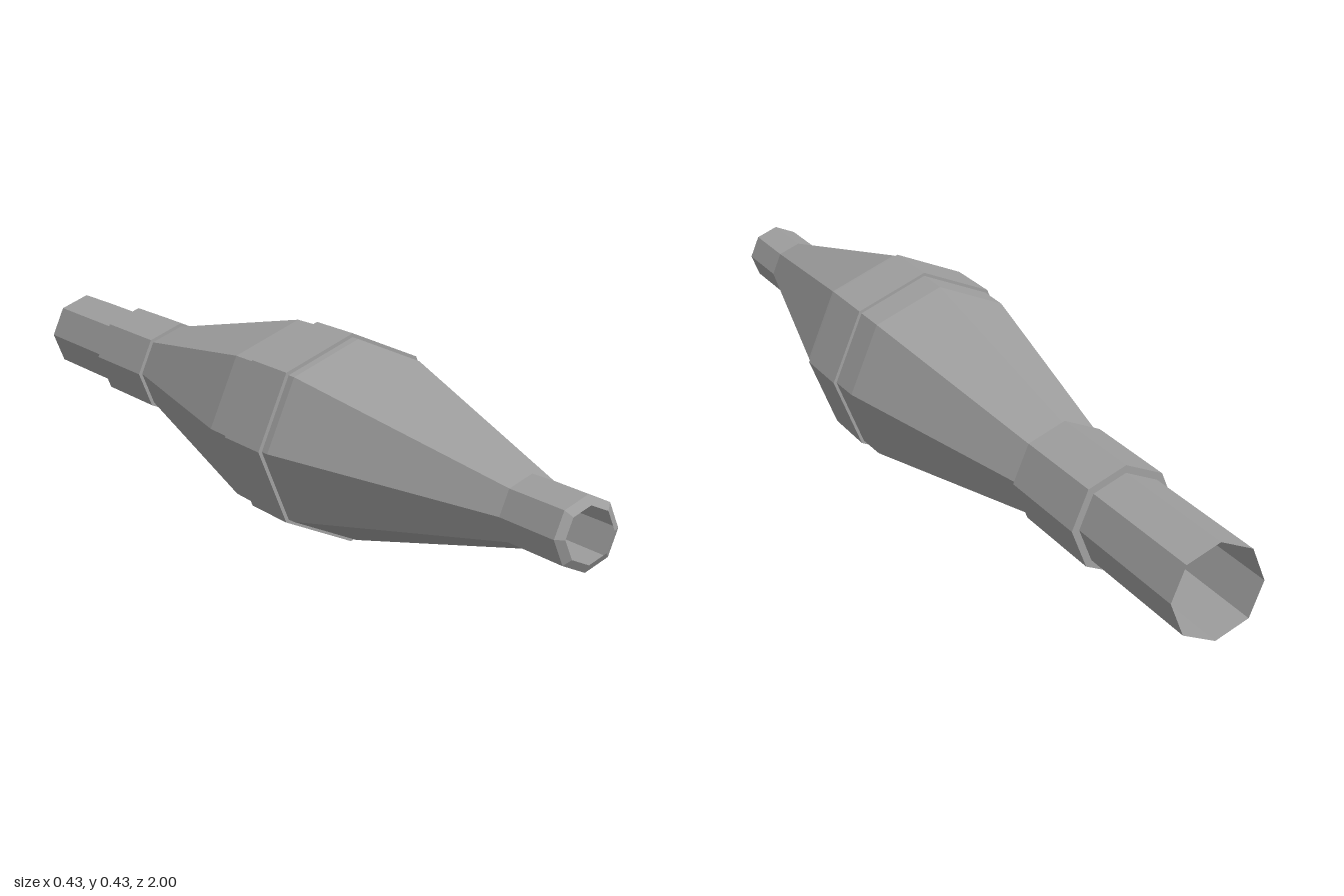
import * as THREE from 'three';

const SIDES = 8;
const AXIS_Y = 0.215;

export function createModel() {
  const grey = new THREE.MeshStandardMaterial({ color: 0xa0a0a0, flatShading: true, side: THREE.DoubleSide });
  grey.name = 'grey metal';

  const model = new THREE.Group();
  model.name = 'taperedPipe';

  // Eight-sided shell around the z axis; profile is [radius, z] from back to front
  function addShell(name, profile) {
    const points = profile.map(([r, z]) => new THREE.Vector2(r, z));
    const geometry = new THREE.LatheGeometry(points, SIDES).rotateX(Math.PI / 2).toNonIndexed();
    geometry.computeVertexNormals();
    const mesh = new THREE.Mesh(geometry, grey);
    mesh.name = name;
    mesh.position.y = AXIS_Y;
    model.add(mesh);
  }

  // Open tube at the back
  addShell('rearTube', [[0.093, -1], [0.093, -0.7]]);

  // Wider sleeve joining the tube to the body
  addShell('rearCollar', [[0.093, -0.7], [0.108, -0.7], [0.108, -0.48], [0.1, -0.48]]);

  // Double-tapered body
  addShell('body', [[0.1, -0.48], [0.205, 0.05], [0.207, 0.165], [0.205, 0.28], [0.068, 0.84]]);

  // Raised band around the widest part
  addShell('middleBand', [[0.204, 0.125], [0.213, 0.125], [0.213, 0.26], [0.204, 0.26]]);

  // Narrow open nozzle with a bevelled lip
  addShell('frontNozzle', [[0.068, 0.84], [0.068, 0.99], [0.052, 1]]);

  return model;
}
